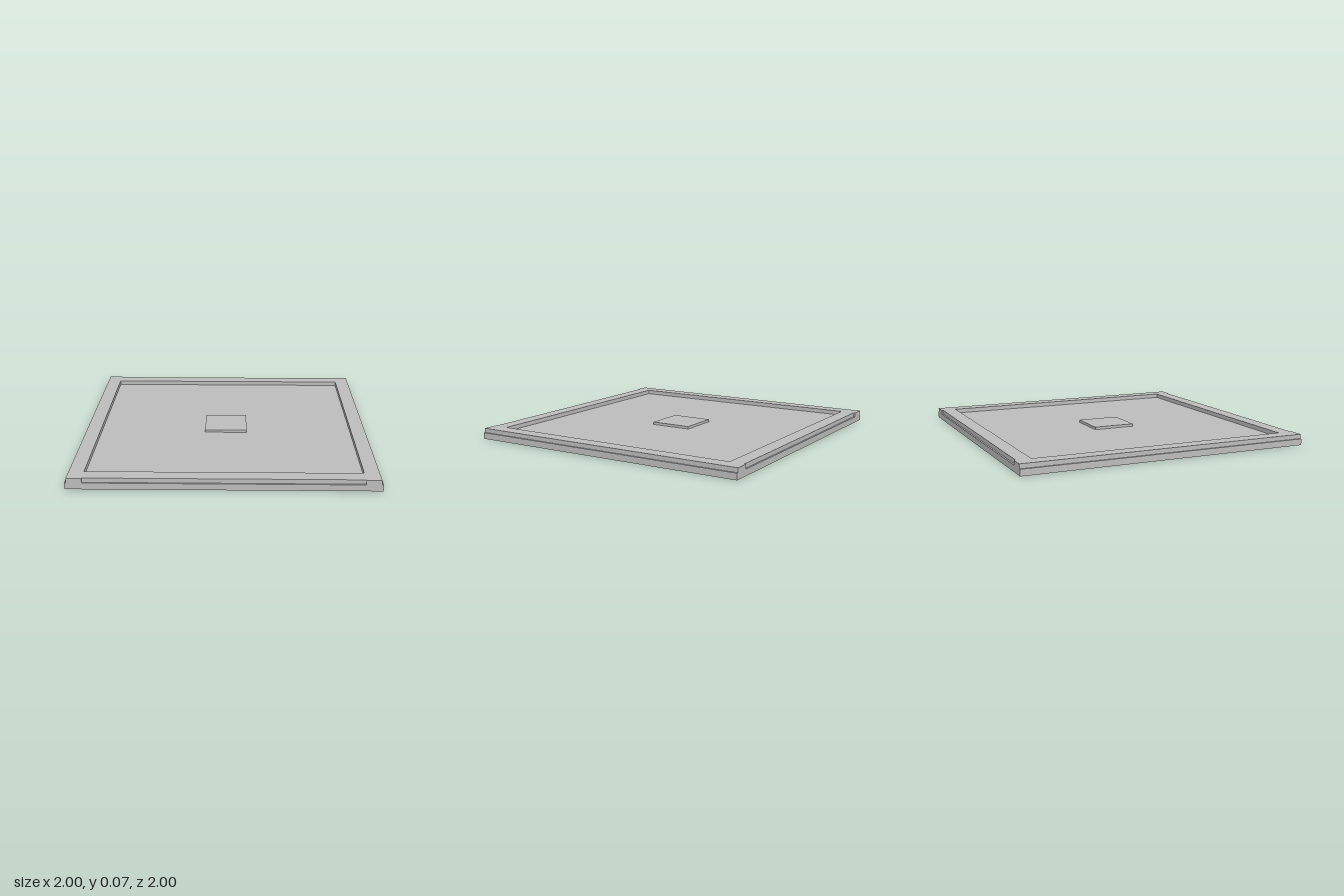
import * as THREE from 'three';

export function createModel() {
  const group = new THREE.Group();
  const grey = new THREE.MeshStandardMaterial({ color: 0xbcbcbc });
  grey.name = 'light grey';

  const baseTop = 0.043, rimTop = 0.073, padTop = 0.061;
  const inner = 0.89, outer = 0.989, half = 1;

  // Box from its minimum and maximum corners
  const addBox = (name, [x0, y0, z0], [x1, y1, z1]) => {
    const mesh = new THREE.Mesh(new THREE.BoxGeometry(x1 - x0, y1 - y0, z1 - z0), grey);
    mesh.position.set((x0 + x1) / 2, (y0 + y1) / 2, (z0 + z1) / 2);
    mesh.name = name;
    group.add(mesh);
    return mesh;
  };

  // Square floor slab
  addBox('baseSlab', [-half, 0, -half], [half, baseTop, half]);

  // Side rails run the full depth
  addBox('leftRail', [inner, baseTop, -half], [outer, rimTop, half]);
  addBox('rightRail', [-outer, baseTop, -half], [-inner, rimTop, half]);

  // Front and back rails sit between them, slightly set back
  addBox('frontRail', [-inner, baseTop, inner], [inner, rimTop, outer]);
  addBox('backRail', [-inner, baseTop, -outer], [inner, rimTop, -inner]);

  // Small raised square in the middle
  addBox('centrePad', [-0.148, baseTop, -0.148], [0.148, padTop, 0.148]);

  return group;
}
